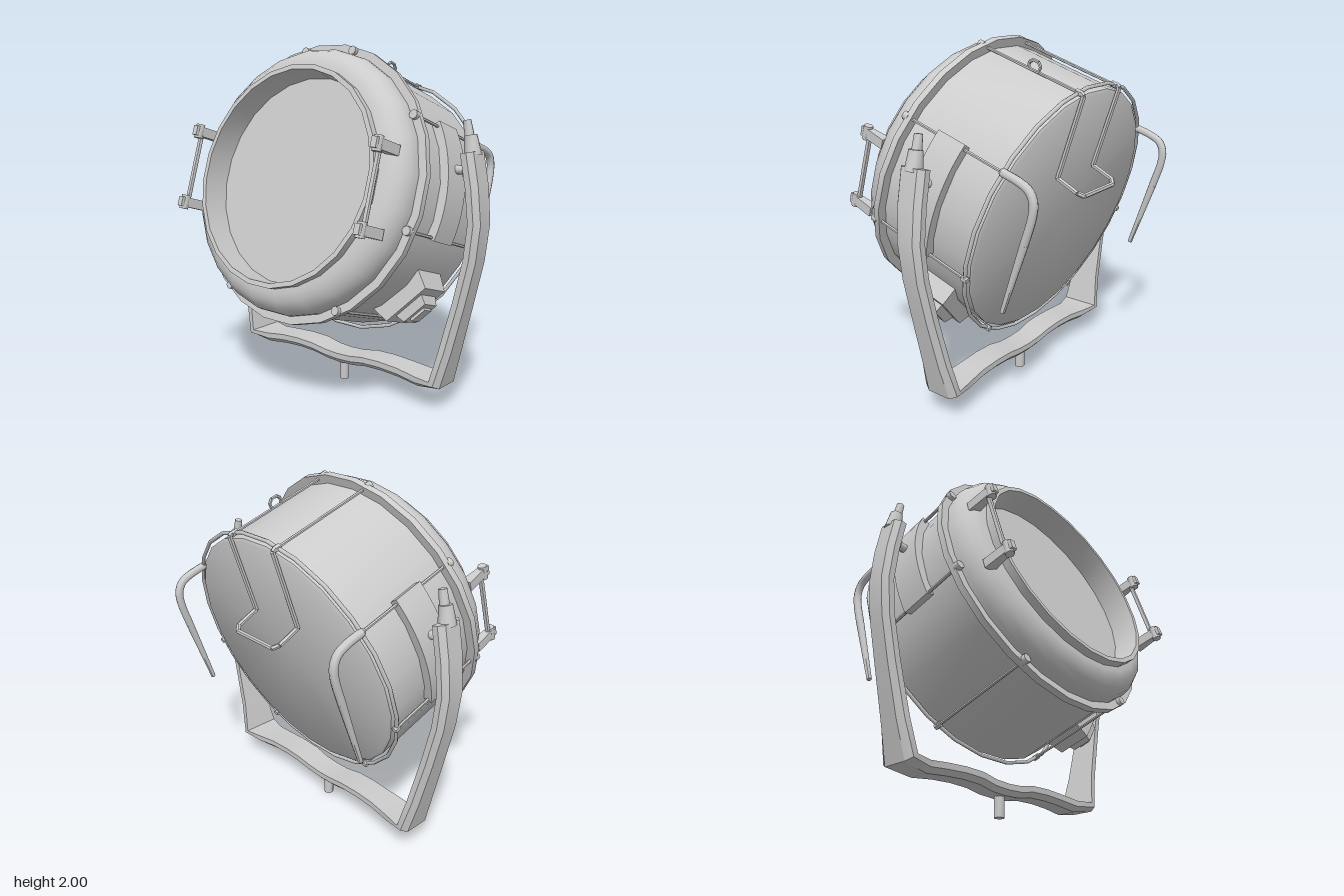
import * as THREE from 'three';
import { toCreasedNormals } from 'three/addons/utils/BufferGeometryUtils.js';

const SIDES = 24;
const material = new THREE.MeshStandardMaterial({ color: 0xcccccc });
const V = (x, y, z) => new THREE.Vector3(x, y, z);

function add(parent, name, geometry) {
  const mesh = new THREE.Mesh(geometry, material);
  mesh.name = name;
  parent.add(mesh);
  return mesh;
}

// Turned part around the lamp axis (local z); profile is [radius, z]
function turned(parent, name, profile) {
  const g = new THREE.LatheGeometry(profile.map(p => new THREE.Vector2(p[0], p[1])), SIDES);
  g.rotateY(Math.PI / SIDES);
  g.rotateX(Math.PI / 2);
  return add(parent, name, toCreasedNormals(g, 0.65));
}

// Straight round bar between two points
function bar(parent, name, a, b, r0, r1 = r0, sides = 8) {
  const g = new THREE.CylinderGeometry(r1, r0, a.distanceTo(b), sides);
  const mesh = add(parent, name, toCreasedNormals(g, 0.9));
  mesh.position.copy(a).add(b).multiplyScalar(0.5);
  mesh.quaternion.setFromUnitVectors(V(0, 1, 0), b.clone().sub(a).normalize());
  return mesh;
}

// Bent wire through points with straight runs
function wire(parent, name, points, r) {
  for (let i = 1; i < points.length; i++) bar(parent, name, points[i - 1], points[i], r, r, 6);
}

// Box whose +x face is scaled down
function taperedBox(w, h, d, ky, kz) {
  const g = new THREE.BoxGeometry(w, h, d);
  const p = g.attributes.position;
  for (let i = 0; i < p.count; i++) {
    if (p.getX(i) > 0) p.setXYZ(i, p.getX(i), p.getY(i) * ky, p.getZ(i) * kz);
  }
  return toCreasedNormals(g, 0.3);
}

// Flat strap bent into a U: half path of [x, y, half width], mirrored and swept
function yokeGeometry() {
  const half = [[0, 0.145, 0.075], [0.1, 0.15, 0.075], [0.2, 0.168, 0.08], [0.32, 0.172, 0.08],
    [0.45, 0.165, 0.08], [0.58, 0.15, 0.09], [0.71, 0.165, 0.115], [0.76, 0.36, 0.09],
    [0.83, 0.64, 0.078], [0.885, 0.88, 0.075], [0.908, 1.08, 0.078], [0.89, 1.27, 0.082], [0.855, 1.45, 0.082]];
  const path = [...half.slice(1).reverse().map(p => [-p[0], p[1], p[2]]), ...half];
  const section = [[1, -0.65], [1, 0.65], [0.1, 1], [-1, 1], [-1, -1], [0.1, -1]];
  const n = section.length, pos = [], idx = [];
  path.forEach((p, i) => {
    const a = path[Math.max(i - 1, 0)], b = path[Math.min(i + 1, path.length - 1)];
    const len = Math.hypot(b[0] - a[0], b[1] - a[1]);
    const nx = (b[1] - a[1]) / len, ny = -(b[0] - a[0]) / len;
    for (const [t, w] of section) pos.push(p[0] + nx * t * 0.031, p[1] + ny * t * 0.031, w * p[2]);
    if (i === 0) return;
    for (let k = 0; k < n; k++) {
      const q = (k + 1) % n, s = (i - 1) * n, e = i * n;
      idx.push(s + k, e + k, e + q, s + k, e + q, s + q);
    }
  });
  const last = (path.length - 1) * n;
  for (let k = 1; k < n - 1; k++) idx.push(0, k, k + 1, last, last + k + 1, last + k);
  const g = new THREE.BufferGeometry();
  g.setAttribute('position', new THREE.Float32BufferAttribute(pos, 3));
  g.setIndex(idx);
  return toCreasedNormals(g, 0.5);
}

function buildLamp() {
  const lamp = new THREE.Group();
  lamp.name = 'lampHead';

  // Drum, rounded front cap, lens hood and glass
  turned(lamp, 'drum', [[0, -0.645], [0.725, -0.645], [0.74, -0.635], [0.74, 0]]);
  turned(lamp, 'flange', [[0.72, -0.015], [0.79, -0.015], [0.79, 0.022], [0.72, 0.022]]);
  turned(lamp, 'frontCap', [[0.745, 0.015], [0.745, 0.05], [0.738, 0.09], [0.715, 0.13], [0.68, 0.16], [0.64, 0.175], [0.6, 0.178]]);
  turned(lamp, 'lensHood', [[0.61, 0.16], [0.612, 0.222], [0.585, 0.222], [0.58, 0.06]]);
  turned(lamp, 'glass', [[0.585, 0.065], [0, 0.065]]);

  // Wire hoop around the back
  const hoop = add(lamp, 'backHoop', new THREE.TorusGeometry(0.768, 0.011, 6, SIDES));
  hoop.position.z = -0.625;
  hoop.rotation.z = Math.PI / SIDES;

  const R = 0.763;
  for (const s of [-1, 1]) {
    // Tie rods with a bolt in front and a nut behind
    for (const deg of [77, 31.6, -14, -58.4]) {
      const a = deg * Math.PI / 180, x = s * R * Math.cos(a), y = R * Math.sin(a);
      bar(lamp, 'tieRod', V(x, y, 0), V(x, y, -0.64), 0.009, 0.009, 6);
      bar(lamp, 'bolt', V(x, y, 0.01), V(x, y, 0.045), 0.025);
      bar(lamp, 'nut', V(x, y, -0.61), V(x, y, -0.645), 0.018, 0.018, 6);
    }

    // Hooked side handle behind the drum
    const hx = s * 0.65;
    const hook = new THREE.CatmullRomCurve3([V(hx, 0.4, -0.62), V(hx, 0.4, -0.72), V(hx, 0.385, -0.79),
      V(hx, 0.34, -0.83), V(hx, 0.27, -0.845), V(hx, 0.12, -0.845)]);
    add(lamp, 'sideHandle', new THREE.TubeGeometry(hook, 20, 0.023, 8));
    bar(lamp, 'sideHandle', V(hx, 0.12, -0.845), V(hx, -0.295, -0.835), 0.023, 0.014);

    // Lens latch: two lugs joined by a pin
    for (const y of [0.19, -0.23]) {
      const lug = add(lamp, 'latchLug', taperedBox(0.18, 0.055, 0.06, 1, 0.55));
      lug.rotation.y = -Math.PI / 2;
      lug.position.set(s * 0.65, y, 0.23);
      bar(lamp, 'latchPivot', V(s * 0.65, y - 0.04, 0.285), V(s * 0.65, y + 0.04, 0.285), 0.025);
    }
    bar(lamp, 'latchPin', V(s * 0.65, -0.23, 0.265), V(s * 0.65, 0.19, 0.265), 0.014);

    // Curved mounting plate on the drum side
    const [a0, a1] = s > 0 ? [-0.26, 0.58] : [Math.PI - 0.58, Math.PI + 0.26];
    const plate = new THREE.Shape();
    plate.absarc(0, 0, 0.785, a0, a1, false);
    plate.absarc(0, 0, 0.735, a1, a0, true);
    const g = new THREE.ExtrudeGeometry(plate, { depth: 0.18, bevelEnabled: false, curveSegments: 6 });
    add(lamp, 'mountingPlate', toCreasedNormals(g, 0.4)).position.z = -0.375;
  }

  // U-shaped rear bracket: down the back, then out to a crossbar
  wire(lamp, 'rearBracket', [V(-0.175, 0.75, -0.64), V(-0.175, 0.74, -0.66), V(-0.175, 0.27, -0.655),
    V(-0.175, 0.25, -0.79), V(-0.145, 0.24, -0.82), V(0.145, 0.24, -0.82), V(0.175, 0.25, -0.79),
    V(0.175, 0.27, -0.655), V(0.175, 0.74, -0.66), V(0.175, 0.75, -0.64)], 0.014);

  // Small eye on top
  wire(lamp, 'topEye', [V(0.172, 0.74, -0.365), V(0.172, 0.775, -0.37), V(0.172, 0.795, -0.35),
    V(0.172, 0.795, -0.315), V(0.172, 0.775, -0.295), V(0.172, 0.74, -0.3)], 0.009);

  // Connector box low on the left side
  const box = new THREE.Group();
  box.name = 'connectorBox';
  box.rotation.z = -0.75;
  box.position.z = -0.4;
  add(box, 'boxBody', taperedBox(0.14, 0.37, 0.24, 0.8, 0.85)).position.x = 0.745;
  add(box, 'boxPanel', taperedBox(0.06, 0.2, 0.15, 0.8, 0.8)).position.x = 0.835;
  add(box, 'boxLatch', new THREE.BoxGeometry(0.02, 0.1, 0.07)).position.x = 0.87;
  lamp.add(box);

  // Tilt the lamp upward
  lamp.position.set(0, 1.25, 0.245);
  lamp.rotation.x = -0.305;
  return lamp;
}

export function createModel() {
  const model = new THREE.Group();
  model.name = 'spotlight';
  model.add(buildLamp());

  // Yoke, pivots and clamping levers
  const stand = new THREE.Group();
  stand.name = 'stand';
  stand.position.z = -0.085;
  add(stand, 'yoke', yokeGeometry());
  for (const s of [-1, 1]) {
    bar(stand, 'pivotBolt', V(s * 0.7, 1.35, 0), V(s * 0.88, 1.35, 0), 0.024);
    bar(stand, 'pivotKnob', V(s * 0.815, 1.35, 0), V(s * 0.85, 1.35, 0), 0.045);
    bar(stand, 'leverBase', V(s * 0.855, 1.43, 0), V(s * 0.835, 1.535, 0), 0.048, 0.036);
    bar(stand, 'lever', V(s * 0.836, 1.5, 0), V(s * 0.812, 1.61, 0), 0.028, 0.022);
  }
  bar(stand, 'stem', V(0, 0, 0), V(0, 0.14, 0), 0.029, 0.029, 10);
  model.add(stand);
  return model;
}
